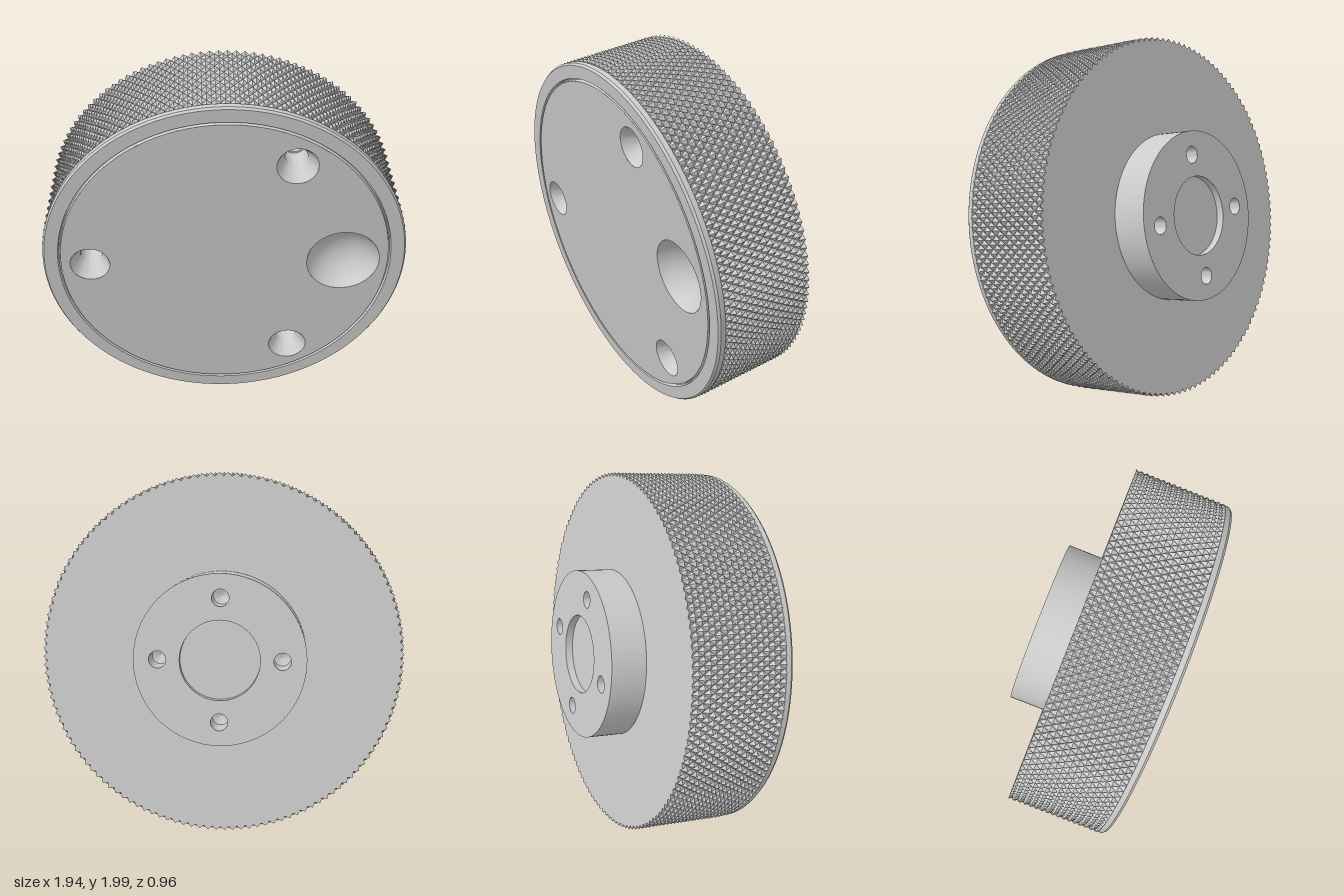
import * as THREE from 'three';
import { toCreasedNormals } from 'three/addons/utils/BufferGeometryUtils.js';

const grey = new THREE.MeshStandardMaterial({ color: 0xcccccc, side: THREE.DoubleSide });
const facet = new THREE.MeshStandardMaterial({ color: 0xcccccc, side: THREE.DoubleSide, flatShading: true });

// Main sizes: front face at z = 0, depth runs towards -z
const KNOB_R = 0.968, GROOVE_R = 0.948, RIM_R = 0.962;
const HUB_R = 0.451, KNURL_FRONT = -0.04, BACK = -0.547, HUB_BACK = -0.738;

function add(parent, name, geometry, material = grey) {
  const mesh = new THREE.Mesh(geometry, material);
  mesh.name = name;
  parent.add(mesh);
  return mesh;
}

// Turned surface about z; profile is [radius, height], height pointing along dir * z
function turned(profile, segments = 128, dir = 1) {
  const points = profile.map(([r, h]) => new THREE.Vector2(r, h));
  const geometry = new THREE.LatheGeometry(points, segments).rotateX(dir * Math.PI / 2);
  return toCreasedNormals(geometry, 0.5);
}

// Flat disc with round holes [x, y, radius]
function drilledDisc(radius, holes) {
  const shape = new THREE.Shape().absarc(0, 0, radius, 0, Math.PI * 2, false);
  for (const [x, y, r] of holes) {
    shape.holes.push(new THREE.Path().absarc(x, y, r, 0, Math.PI * 2, true));
  }
  return new THREE.ShapeGeometry(shape, 64);
}

// Diamond knurling: alternate high and low points, each cell split along its low diagonal
function knurledBand(around, along) {
  const cols = around * 2, rows = along * 2;
  const vertex = (i, j) => {
    const a = (i % cols) / cols * Math.PI * 2;
    let r = (i + j) % 2 ? GROOVE_R : KNOB_R;
    let z = BACK + (KNURL_FRONT - BACK) * (j - 1) / rows;
    if (j === 0) { r = HUB_R; z = BACK; }                      // flat back face
    if (j === rows + 2) { r = RIM_R; z = KNURL_FRONT; }        // shoulder to the rim
    return [r * Math.cos(a), r * Math.sin(a), z];
  };
  const positions = [];
  for (let j = 0; j < rows + 2; j++) {
    for (let i = 0; i < cols; i++) {
      const a = vertex(i, j), b = vertex(i + 1, j), c = vertex(i + 1, j + 1), d = vertex(i, j + 1);
      const order = (i + j) % 2 ? [a, b, c, a, c, d] : [a, b, d, b, c, d];
      for (const p of order) positions.push(...p);
    }
  }
  const geometry = new THREE.BufferGeometry();
  geometry.setAttribute('position', new THREE.Float32BufferAttribute(positions, 3));
  geometry.computeVertexNormals();
  return geometry;
}

export function createModel() {
  const model = new THREE.Group();
  model.name = 'handwheel';
  const wheel = new THREE.Group();
  wheel.name = 'tiltedWheel';
  wheel.rotation.x = 0.165;
  wheel.position.set(0, 0.96, 0.322);
  model.add(wheel);

  add(wheel, 'knurledGrip', knurledBand(132, 8), facet);

  // Chamfered front rim and the narrow groove around the face plate
  add(wheel, 'frontRim', turned([
    [RIM_R, KNURL_FRONT], [RIM_R, -0.012], [0.953, 0],
    [0.882, 0], [0.878, -0.02], [0.872, -0.02], [0.868, 0],
  ], 192));

  // Face plate with three screw holes and a finger dish
  const screws = [60, 180, 300].map((deg) => {
    const a = THREE.MathUtils.degToRad(deg);
    return [0.715 * Math.cos(a), 0.715 * Math.sin(a), 0.105];
  });
  const dish = [0.63, 0, 0.194];
  add(wheel, 'facePlate', drilledDisc(0.868, [...screws, dish]));

  const countersink = turned([
    [0.105, 0], [0.058, -0.085], [0.058, -0.2], [0.048, -0.2], [0.048, -0.3], [0, -0.3],
  ], 48);
  for (const [x, y] of screws) add(wheel, 'countersunkHole', countersink).position.set(x, y, 0);

  // Spherical finger dish
  const depth = 0.13;
  const sphereR = (dish[2] ** 2 + depth ** 2) / (2 * depth);
  const halfAngle = Math.asin(dish[2] / sphereR);
  const bowl = [];
  for (let k = 0; k <= 16; k++) {
    const a = halfAngle * (1 - k / 16);
    bowl.push([sphereR * Math.sin(a), sphereR - depth - sphereR * Math.cos(a)]);
  }
  add(wheel, 'fingerDish', turned(bowl, 64)).position.set(dish[0], dish[1], 0);

  // Rear hub with a shallow centre recess and four blind holes
  add(wheel, 'hubWall', turned([[HUB_R, HUB_BACK], [HUB_R, BACK]], 96));
  const bolts = [0, 1, 2, 3].map((k) => {
    const a = k * Math.PI / 2;
    return [0.325 * Math.cos(a), 0.325 * Math.sin(a), 0.045];
  });
  const hubFace = drilledDisc(HUB_R, [[0, 0, 0.21], ...bolts]).rotateX(Math.PI);
  add(wheel, 'hubFace', hubFace).position.z = HUB_BACK;
  add(wheel, 'hubRecess', turned([[0.21, 0], [0.21, -0.04], [0, -0.04]], 64, -1)).position.z = HUB_BACK;
  const blindHole = turned([[0.045, 0], [0.045, -0.15], [0, -0.17]], 32, -1);
  for (const [x, y] of bolts) add(wheel, 'hubBoltHole', blindHole).position.set(x, y, HUB_BACK);

  return model;
}
